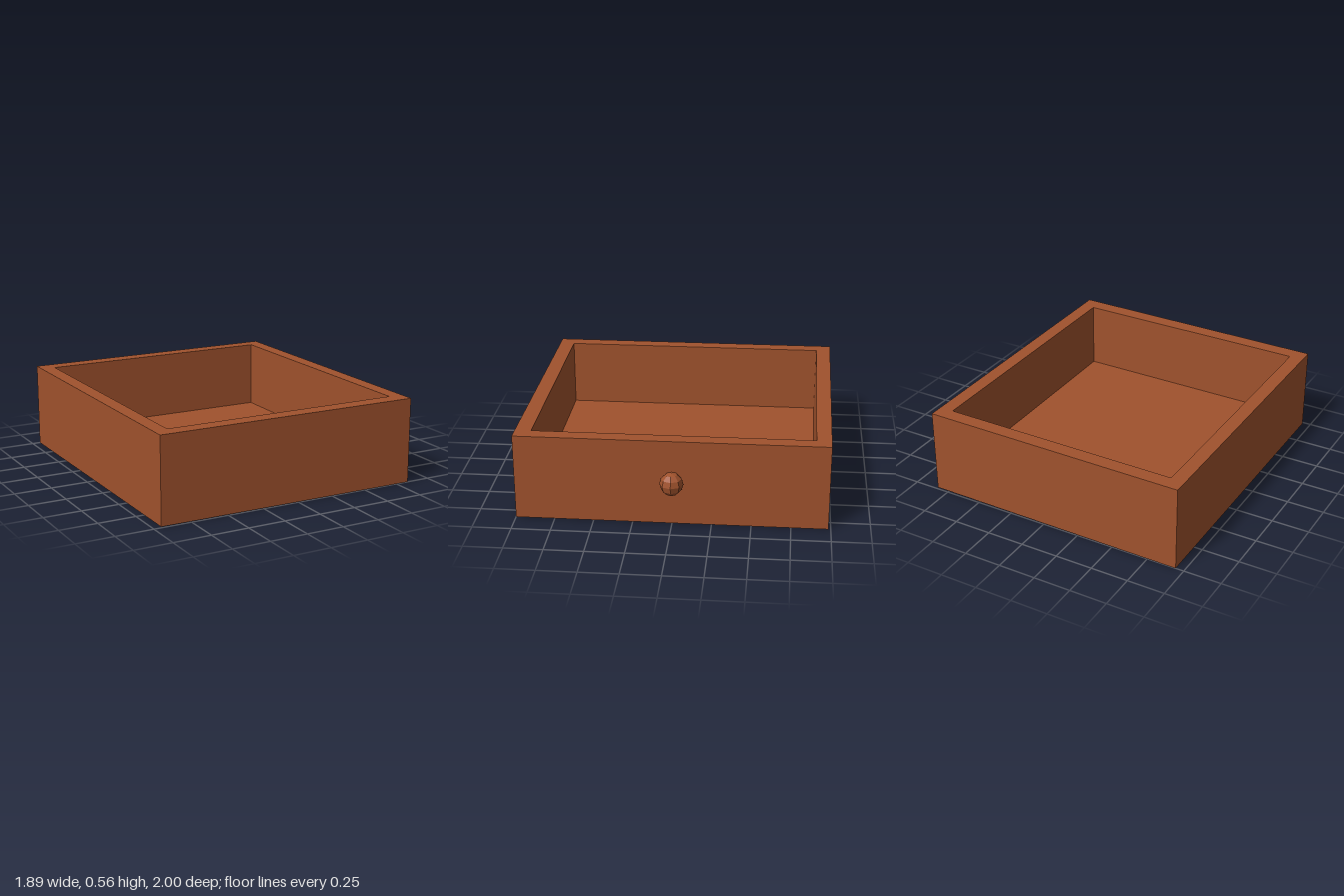
import * as THREE from 'three';

const HEIGHT = 0.565, FLOOR = 0.11;

// Slightly skewed plan outlines, corners as [x, z]
const OUTER = [[-0.945, 0.985], [0.84, 1.0], [0.84, -0.985], [-0.945, -1.0]];
const INNER = [[-0.85, 0.885], [0.745, 0.895], [0.745, -0.89], [-0.85, -0.9]];

const toPoints = (corners) => corners.map(([x, z]) => new THREE.Vector2(x, -z));

// Extrudes a plan shape upwards from y = 0
function raise(shape, height) {
  const geometry = new THREE.ExtrudeGeometry(shape, { depth: height, bevelEnabled: false });
  return geometry.rotateX(-Math.PI / 2);
}

export function createModel() {
  const group = new THREE.Group();
  group.name = 'drawer';

  const wood = new THREE.MeshStandardMaterial({ color: 0xa0522d, flatShading: true });
  wood.name = 'sienna wood';

  const add = (name, geometry) => {
    const mesh = new THREE.Mesh(geometry, wood);
    mesh.name = name;
    group.add(mesh);
    return mesh;
  };

  // Four walls as one open frame
  const frame = new THREE.Shape(toPoints(OUTER));
  frame.holes.push(new THREE.Path(toPoints(INNER)));
  add('walls', raise(frame, HEIGHT));

  // Floor filling the frame
  add('floor', raise(new THREE.Shape(toPoints(INNER)), FLOOR));

  // Faceted pull knob on the +x wall
  add('knob', new THREE.SphereGeometry(0.075, 8, 6)).position.set(0.87, 0.29, 0);

  return group;
}
